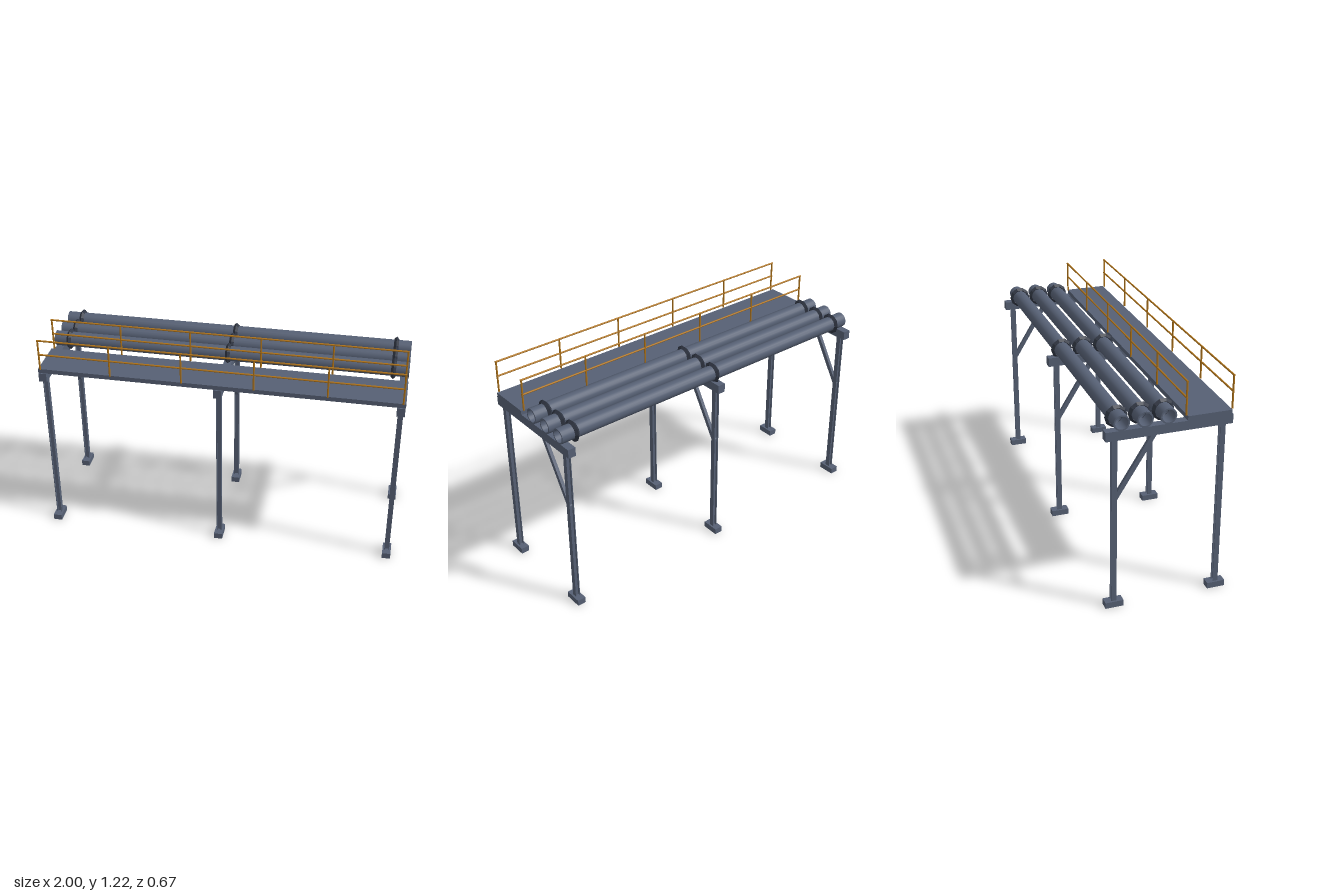
import * as THREE from 'three';
import { mergeGeometries } from 'three/addons/utils/BufferGeometryUtils.js';

export function createModel() {
  const model = new THREE.Group();
  model.name = 'pipeRack';

  const material = (name, color, flatShading = false) => {
    const m = new THREE.MeshStandardMaterial({ color, flatShading });
    m.name = name;
    return m;
  };
  const steel = material('slateSteel', 0x566074);
  const clampMetal = material('darkClamp', 0x303643, true);
  const railPaint = material('ochreRail', 0xb0741a);

  const add = (parent, name, geometry, mat, x = 0, y = 0, z = 0) => {
    const mesh = new THREE.Mesh(geometry, mat);
    mesh.name = name;
    mesh.position.set(x, y, z);
    parent.add(mesh);
    return mesh;
  };
  const box = (parent, name, mat, w, h, d, x, y, z) =>
    add(parent, name, new THREE.BoxGeometry(w, h, d), mat, x, y, z);

  // H-section column, open towards front and back
  const columnGeometry = (height) => {
    const a = 0.0138, flange = 0.004, web = 0.002;
    const i = a - flange;
    const shape = new THREE.Shape([
      [-a, -a], [-i, -a], [-i, -web], [i, -web], [i, -a], [a, -a],
      [a, a], [i, a], [i, web], [-i, web], [-i, a], [-a, a],
    ].map(([x, y]) => new THREE.Vector2(x, y)));
    return new THREE.ExtrudeGeometry(shape, { depth: height, bevelEnabled: false }).rotateX(-Math.PI / 2);
  };

  // Three support frames: footings, columns, cross beam and knee brace
  const column = columnGeometry(0.93);
  for (const x of [-0.976, 0, 0.976]) {
    const frame = new THREE.Group();
    frame.name = 'supportFrame';
    frame.position.x = x;
    model.add(frame);
    for (const side of [-1, 1]) {
      box(frame, 'footing', steel, 0.048, 0.034, 0.098, 0, 0.017, side * 0.284);
      add(frame, 'column', column, steel, 0, 0.032, side * 0.284);
    }
    box(frame, 'crossBeam', steel, 0.044, 0.05, 0.666, 0, 0.985, 0);

    const top = new THREE.Vector3(0, 0.975, -0.067);
    const foot = new THREE.Vector3(0, 0.63, -0.28);
    const brace = box(frame, 'kneeBrace', steel, 0.018, top.distanceTo(foot), 0.024, 0, 0, 0);
    brace.position.copy(top).add(foot).multiplyScalar(0.5);
    brace.quaternion.setFromUnitVectors(new THREE.Vector3(0, 1, 0), top.sub(foot).normalize());
  }

  // Walkway deck
  box(model, 'walkwayDeck', steel, 2, 0.025, 0.236, 0, 1.0225, 0.208);

  // Round-bar handrails on both sides of the walkway
  const post = new THREE.CylinderGeometry(0.005, 0.005, 0.182, 10);
  const bar = new THREE.CylinderGeometry(0.005, 0.005, 1.98, 10).rotateZ(Math.PI / 2);
  for (const z of [0.086, 0.331]) {
    const rail = new THREE.Group();
    rail.name = 'handrail';
    rail.position.z = z;
    model.add(rail);
    for (let i = 0; i < 6; i++) add(rail, 'railPost', post, railPaint, -0.985 + i * 0.394, 1.126, 0);
    add(rail, 'topRail', bar, railPaint, 0, 1.214, 0);
    add(rail, 'midRail', bar, railPaint, 0, 1.128, 0);
  }

  // Hollow pipes, built from separate walls so the rims stay sharp
  const R = 0.042, r = 0.034;
  const corners = [[R, -1], [R, 1], [r, 1], [r, -1], [R, -1]].map(([a, b]) => new THREE.Vector2(a, b));
  const pipe = mergeGeometries([0, 1, 2, 3].map(
    (i) => new THREE.LatheGeometry([corners[i], corners[i + 1]], 20),
  )).rotateZ(-Math.PI / 2);

  // Faceted clamp rings with a pointed rim
  const clamp = new THREE.TorusGeometry(0.047, 0.0135, 4, 10).rotateY(Math.PI / 2);
  for (const z of [-0.01, -0.131, -0.252]) {
    add(model, 'pipe', pipe, steel, 0, 1.051, z);
    for (const x of [-0.915, 0, 0.915]) add(model, 'pipeClamp', clamp, clampMetal, x, 1.051, z);
  }

  return model;
}
